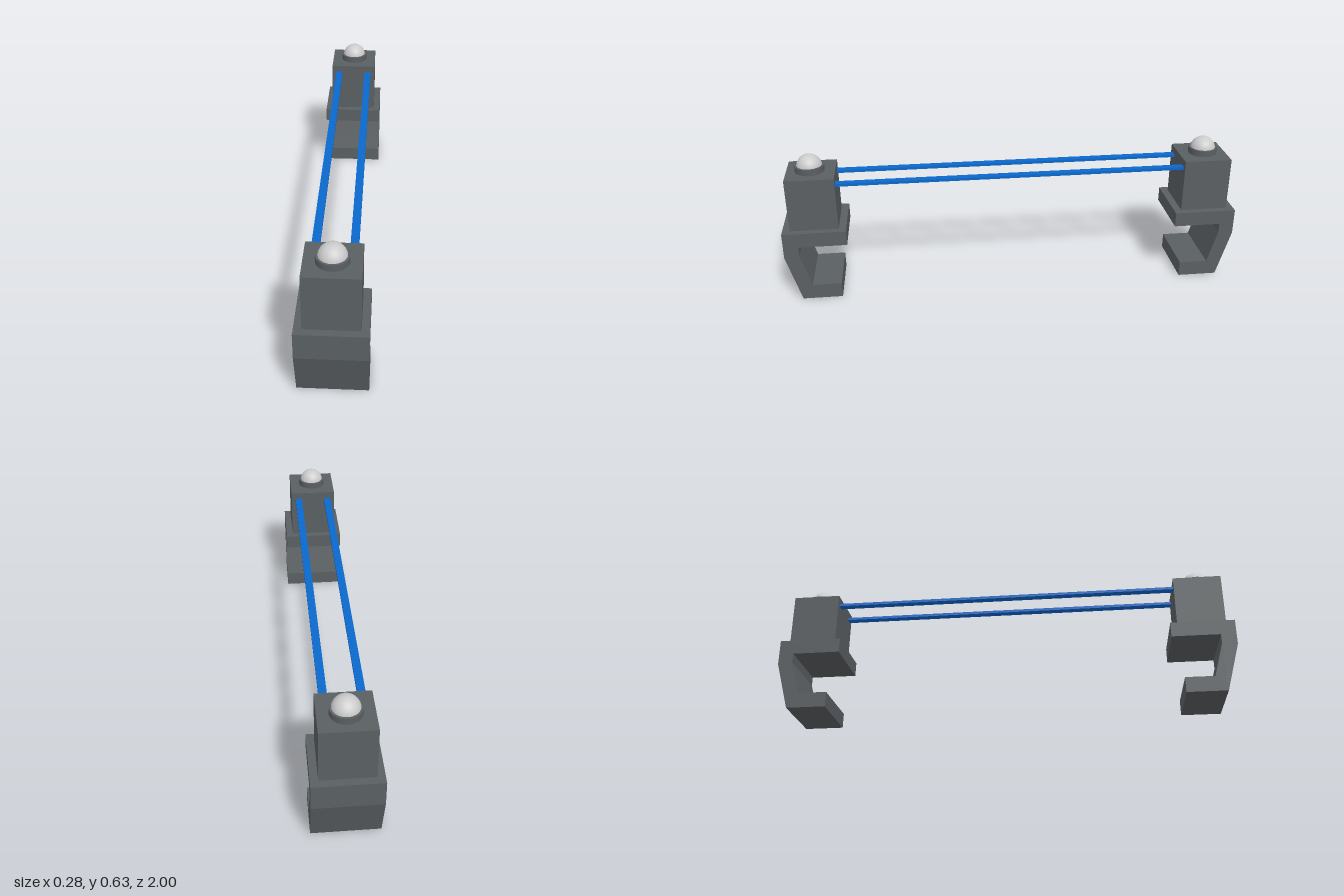
import * as THREE from 'three';

const dark = new THREE.MeshStandardMaterial({ color: 0x5a5f62 });
const blue = new THREE.MeshStandardMaterial({ color: 0x0a68cc });
const grey = new THREE.MeshStandardMaterial({ color: 0xcccccc });

function addPart(parent, name, geometry, material, x, y, z) {
  const mesh = new THREE.Mesh(geometry, material);
  mesh.name = name;
  mesh.position.set(x, y, z);
  parent.add(mesh);
  return mesh;
}

// C-shaped clamp: side profile in (z, y), extruded across the width
function clampGeometry() {
  const profile = [
    [1, 0.322], [0.728, 0.322], [0.728, 0.257], [0.935, 0.257], [0.935, 0.215],
    [0.893, 0.067], [0.768, 0.067], [0.768, 0], [0.94, 0], [1, 0.209],
  ].map(([z, y]) => new THREE.Vector2(z, y));
  const width = 0.277;
  return new THREE.ExtrudeGeometry(new THREE.Shape(profile), { depth: width, bevelEnabled: false })
    .translate(0, 0, -width / 2)
    .rotateY(-Math.PI / 2);
}

// One end post, placed at +z with its jaw opening inward
function createPost(name) {
  const post = new THREE.Group();
  post.name = name;
  const z = 0.864;
  addPart(post, 'clamp', clampGeometry(), dark, 0, 0, 0);
  addPart(post, 'block', new THREE.BoxGeometry(0.215, 0.234, 0.208), dark, 0, 0.439, z);
  addPart(post, 'collar', new THREE.CylinderGeometry(0.063, 0.063, 0.027, 32), dark, 0, 0.5695, z + 0.004);
  // Dome partly sunk into the collar
  addPart(post, 'dome', new THREE.SphereGeometry(0.055, 32, 16, 0, Math.PI * 2, 0, Math.PI / 2),
    grey, 0, 0.575, z + 0.004);
  return post;
}

export function createModel() {
  const model = new THREE.Group();
  model.name = 'clampedRails';

  const front = createPost('frontPost');
  const back = createPost('backPost');
  back.rotation.y = Math.PI;
  model.add(front, back);

  // Two flat bands stretched between the posts
  for (const side of [1, -1]) {
    addPart(model, side > 0 ? 'leftBand' : 'rightBand',
      new THREE.BoxGeometry(0.032, 0.012, 1.522), blue, side * 0.072, 0.518, 0);
  }
  return model;
}
